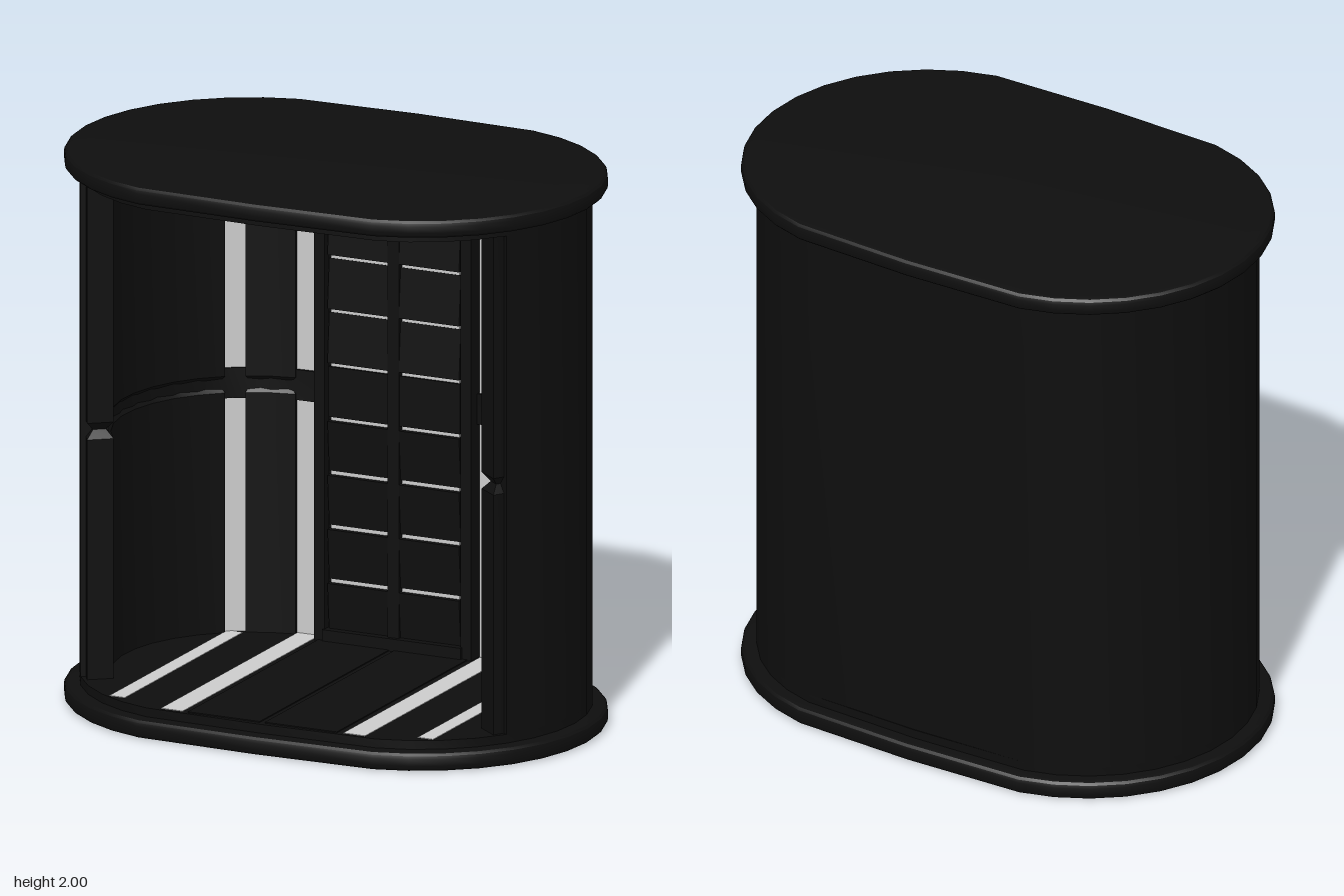
import * as THREE from 'three';
import { toCreasedNormals } from 'three/addons/utils/BufferGeometryUtils.js';

const black = new THREE.MeshStandardMaterial({ color: 0x0e0e0e });
const light = new THREE.MeshStandardMaterial({ color: 0xcccccc });
const CX = 0.33;                 // centre of each rounded end
const STEP = 11.25;              // degrees per facet
const BACK = -7 * STEP;          // last facet before the flat back

// Point on a rounded end: angle 0 is outward, positive toward the front
const point = (deg, r, side = 1) => {
  const a = THREE.MathUtils.degToRad(deg);
  return new THREE.Vector2(side * (CX + r * Math.cos(a)), r * Math.sin(a));
};

const arc = (from, to, r, side = 1) => {
  const n = Math.max(1, Math.round(Math.abs(to - from) / STEP));
  return Array.from({ length: n + 1 }, (_, i) => point(from + (to - from) * i / n, r, side));
};

// Line along the inside of the pod: left front, round the back, right front
const aroundBack = (front, r) => [
  ...arc(front, BACK, r), new THREE.Vector2(0, -r), ...arc(BACK, front, r, -1)];

const outline = (r) => [
  ...arc(-BACK, BACK, r), new THREE.Vector2(0, -r - 0.003),
  ...arc(BACK, -BACK, r, -1), new THREE.Vector2(0, r)];

export function createModel() {
  const model = new THREE.Group();

  const add = (parent, name, geometry, material = black) => {
    const mesh = new THREE.Mesh(geometry, material);
    mesh.name = name;
    parent.add(mesh);
    return mesh;
  };
  const group = (name) => {
    const g = new THREE.Group();
    g.name = name;
    model.add(g);
    return g;
  };
  // Plan shape raised from y0 to y1, with an optional bevel kept inside its size
  const raise = (points, y0, y1, bevel = 0, inset = bevel, segments = 1) => {
    const geometry = new THREE.ExtrudeGeometry(new THREE.Shape(points), {
      depth: y1 - y0 - 2 * bevel, bevelEnabled: bevel > 0, bevelThickness: bevel,
      bevelSize: inset, bevelOffset: -inset, bevelSegments: segments });
    geometry.rotateX(Math.PI / 2).translate(0, y1 - bevel, 0);
    return toCreasedNormals(geometry, 0.5);
  };
  const box = (parent, name, x0, x1, y0, y1, z0, z1, material) => {
    const mesh = add(parent, name, new THREE.BoxGeometry(x1 - x0, y1 - y0, z1 - z0), material);
    mesh.position.set((x0 + x1) / 2, (y0 + y1) / 2, (z0 + z1) / 2);
    return mesh;
  };

  // End plates and the slabs just inside them
  add(model, 'basePlate', raise(outline(0.655), 0, 0.068, 0.022, 0.022, 3));
  add(model, 'topPlate', raise(outline(0.655), 1.934, 2, 0.022, 0.022, 3));
  add(model, 'floor', raise(outline(0.6), 0.06, 0.1));
  add(model, 'ceiling', raise(outline(0.6), 1.908, 1.94));

  // Outer shell, open at the front
  add(model, 'outerShell', raise(
    [...aroundBack(3 * STEP, 0.6), ...aroundBack(3 * STEP, 0.575).reverse()], 0.06, 1.94));

  // Middle band behind the joint of the two lining tiers
  add(model, 'middleBand', raise(
    [...aroundBack(3 * STEP, 0.5), ...aroundBack(3 * STEP, 0.58).reverse()], 0.948, 1.058));

  // Lining: dark panels with light strips between, in two tiers on both sides
  const lining = group('lining');
  const slice = (from, to, rIn, rOut, side) =>
    [...arc(from, to, rOut, side), ...arc(to, from, rIn, side)];
  for (const side of [1, -1]) {
    for (const [y0, y1, s0, s1] of [[0.065, 1, 0.09, 0.96], [1, 1.935, 1.05, 1.92]]) {
      add(lining, 'sidePanel', raise(slice(38, -53, 0.49, 0.585, side), y0, y1, 0.03, 0.025));
      add(lining, 'cornerPanel', raise(slice(-61.3, -82, 0.49, 0.585, side), y0, y1, 0.03, 0.025));
      add(lining, 'outerLightStrip', raise(slice(-53, -61.3, 0.506, 0.58, side), s0, s1), light);
      add(lining, 'innerLightStrip', raise(slice(-82, -92.5, 0.506, 0.58, side), s0, s1), light);
    }
  }

  // Light strips along the floor and ceiling, continuing those on the wall
  const strips = group('floorAndCeilingLights');
  for (const side of [1, -1]) {
    for (const [x, width, front] of [[0.6, 0.06, 0.51], [0.355, 0.085, 0.575]]) {
      const back = x > 0.5 ? -0.42 : -0.5;
      for (const y of [0.1, 1.908]) {
        box(strips, 'lightStrip', side * x - width / 2, side * x + width / 2,
          y - 0.002, y + 0.002, back, front, light);
      }
    }
  }
  for (const y of [0.1, 1.908]) {
    for (const x of [-0.15, 0.15]) {
      box(model, 'centreFloorPanel', x - 0.14, x + 0.14, y - 0.004, y + 0.004, -0.46, 0.58);
    }
  }

  // Centre column: frame, tilted tiles and thin lights between them
  const column = group('centreColumn');
  box(column, 'columnBack', -0.305, 0.305, 0.08, 1.92, -0.585, -0.48);
  for (const side of [1, -1]) {
    box(column, 'columnRail', side * 0.285 - 0.02, side * 0.285 + 0.02, 0.08, 1.92, -0.5, -0.445);
  }
  box(column, 'columnDivider', -0.022, 0.022, 0.14, 1.87, -0.5, -0.45);
  box(column, 'columnFoot', -0.27, 0.27, 0.09, 0.145, -0.5, -0.435);
  box(column, 'columnHead', -0.27, 0.27, 1.862, 1.92, -0.5, -0.435);

  const PITCH = 0.196, FIRST = 0.319;
  for (let i = 0; i < 9; i++) {
    const y = FIRST + (i - 0.5) * PITCH;
    for (const x of [-0.139, 0.139]) {
      // Lower tiles lean forward at the top, upper tiles at the bottom
      const tile = box(column, 'tile', x - 0.117, x + 0.117,
        y - PITCH / 2 + 0.007, y + PITCH / 2 - 0.007, -0.485, -0.457);
      tile.rotation.x = 0.08 * Math.sign(4 - i);
      if (i < 8) {
        const slot = y + PITCH / 2;
        box(column, 'slotLight', x - 0.112, x + 0.112,
          slot - 0.008, slot + 0.008, -0.49, -0.466, light);
      }
    }
  }
  return model;
}
